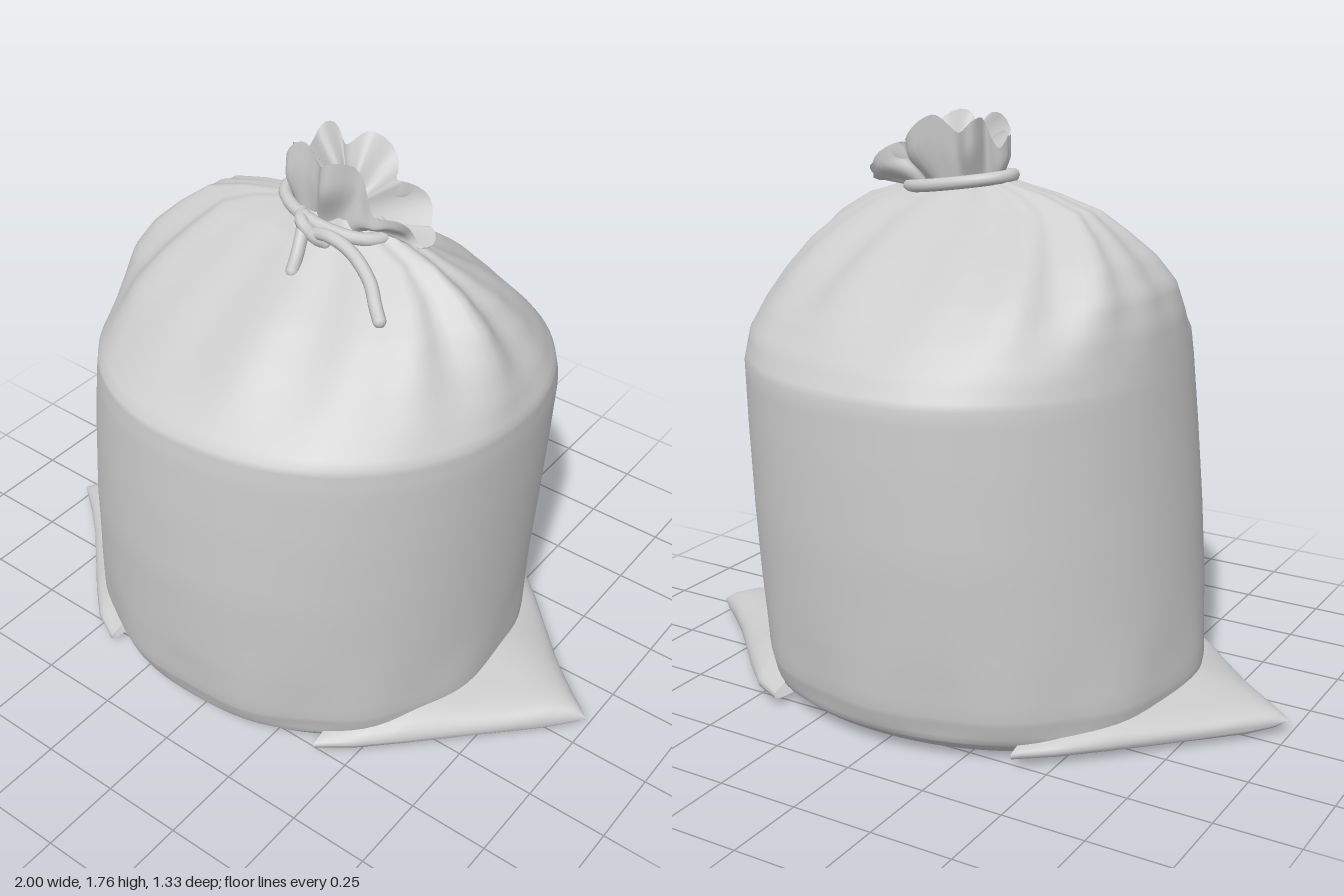
import * as THREE from 'three';

const SEG = 96;
const material = new THREE.MeshStandardMaterial({ color: 0xcccccc, side: THREE.DoubleSide });

// Joins closed rings of points (listed bottom to top or root to tip) into a smooth skin
function loft(name, rows, seg, point) {
  const pos = [], index = [];
  for (let r = 0; r < rows; r++) {
    for (let i = 0; i < seg; i++) pos.push(...point(r / (rows - 1), (i / seg) * Math.PI * 2));
  }
  for (let r = 0; r < rows - 1; r++) {
    for (let i = 0; i < seg; i++) {
      const a = r * seg + i, b = r * seg + (i + 1) % seg;
      index.push(a, a + seg, b, b, a + seg, b + seg);
    }
  }
  const g = new THREE.BufferGeometry();
  g.setAttribute('position', new THREE.Float32BufferAttribute(pos, 3));
  g.setIndex(index);
  g.computeVertexNormals();
  const mesh = new THREE.Mesh(g, material);
  mesh.name = name;
  return mesh;
}

// Linear lookup in a table of rows, t from 0 to 1
function sample(table, t) {
  const f = t * (table.length - 1), i = Math.min(Math.floor(f), table.length - 2);
  return table[i].map((v, k) => v + (table[i + 1][k] - v) * (f - i));
}

const spow = (v, p) => Math.sign(v) * Math.abs(v) ** p;
const smooth = THREE.MathUtils.smoothstep;

// Sack outline: height, left extent (-x), right extent (+x), back, front
const outline = [
  [0.008, 0, 0, 0, 0],
  [0.006, 0.62, 0.6, 0.48, 0.49],
  [0.022, 0.66, 0.64, 0.56, 0.57],
  [0.06, 0.68, 0.66, 0.605, 0.605],
  [0.14, 0.69, 0.67, 0.63, 0.635],
  [0.32, 0.675, 0.675, 0.645, 0.652],
  [0.6, 0.65, 0.69, 0.66, 0.665],
  [0.85, 0.625, 0.705, 0.66, 0.66],
  [1.04, 0.605, 0.715, 0.655, 0.65],
  [1.12, 0.595, 0.715, 0.605, 0.64],
  [1.2, 0.585, 0.68, 0.53, 0.54],
  [1.29, 0.56, 0.625, 0.43, 0.435],
  [1.37, 0.505, 0.565, 0.32, 0.325],
  [1.44, 0.435, 0.49, 0.205, 0.21],
  [1.5, 0.36, 0.39, 0.115, 0.12],
  [1.54, 0.24, 0.27, 0.08, 0.085],
  [1.57, 0.1, 0.22, 0.06, 0.065],
];

function bodyPoint(t, a) {
  const [y, left, right, back, front] = sample(outline, t);
  const c = spow(Math.cos(a), 0.95), s = spow(Math.sin(a), 0.95);
  // Gathers that deepen towards the neck, and soft dents near the floor
  const gather = smooth(y, 1.1, 1.42) * (0.035 * Math.sin(9 * a + 1) + 0.03 * Math.sin(14 * a + 0.6));
  const dent = 0.008 * smooth(y, 0.03, 0.1) * (1 - smooth(y, 0.15, 0.4)) * Math.sin(11 * a);
  const k = 1 + gather + dent;
  // Slightly fuller on one diagonal, matching the skewed base
  const skew = 1 - 0.02 * Math.sin(2 * a);
  return [c * (c < 0 ? left : right) * k * skew, y, s * (s < 0 ? back : front) * k * skew];
}

// Flattened base corner: x, back z, front z, bottom, top
const corner = [
  [0.4, -0.57, 0.53, 0.008, 0.1],
  [0.5, -0.52, 0.45, 0.005, 0.13],
  [0.6, -0.43, 0.35, 0.003, 0.145],
  [0.7, -0.33, 0.245, 0.002, 0.128],
  [0.8, -0.23, 0.14, 0.003, 0.112],
  [0.9, -0.145, 0.035, 0.008, 0.1],
  [0.96, -0.1, -0.03, 0.025, 0.08],
  [1.0, -0.07, -0.07, 0.052, 0.052],
];

function cornerPoint(height) {
  return (t, a) => {
    const [x, back, front, low, high] = sample(corner, t);
    const c = Math.cos(a), s = Math.sin(a), top = high * height;
    const mid = Math.min(0.045, (low + top) / 2);
    const z = (back + front) / 2 - c * (front - back) / 2;
    const wrinkle = s > 0 ? 0.008 * s * Math.sin(16 * z + 5 * x) * (1 - t) : 0;
    return [x, mid + wrinkle + (s > 0 ? s * (top - mid) : spow(s, 0.6) * (mid - low)), z];
  };
}

// Frilled mouth above the tie: tall on one side, drooping on the other
function frillPoint(t, a) {
  const c = Math.cos(a), s = Math.sin(a);
  const open = smooth(t, 0, 0.75);
  const fold = 1 + (0.1 + 0.2 * open) * Math.sin(8 * a + 0.8) + 0.12 * open * Math.sin(13 * a);
  const rx = 0.13 + 0.07 * open, rz = 0.06 + 0.035 * open;
  const x = 0.08 + 0.04 * open + c * rx * (0.75 + 0.25 * fold) + 0.06 * t * Math.max(c, 0);
  const z = -0.02 * t + s * rz * fold;
  const rim = 1.735 - 0.17 * smooth(x, 0.12, 0.4) - 0.07 * smooth(-x, 0.02, 0.12)
    + 0.025 * Math.sin(8 * a + 2.2);
  return [x, 1.51 + (rim - 1.51) * t, z];
}

// Rounded cord through a few points
function cord(name, points, closed = false) {
  const group = new THREE.Group();
  group.name = name;
  const pts = points.map((p) => new THREE.Vector3(...p));
  const curve = new THREE.CatmullRomCurve3(pts, closed);
  group.add(new THREE.Mesh(new THREE.TubeGeometry(curve, 48, 0.019, 10, closed), material));
  if (!closed) {
    for (const p of [pts[0], pts[pts.length - 1]]) {
      const end = new THREE.Mesh(new THREE.SphereGeometry(0.019, 10, 8), material);
      end.position.copy(p);
      group.add(end);
    }
  }
  return group;
}

export function createModel() {
  const model = new THREE.Group();
  model.name = 'tiedSack';

  model.add(loft('sackBody', 65, SEG, bodyPoint));

  // Flat corners of the base, one on each side
  model.add(loft('leftBaseCorner', 29, 40, cornerPoint(1)));
  const rightCorner = loft('rightBaseCorner', 29, 40, cornerPoint(0.88));
  rightCorner.rotation.y = Math.PI;
  model.add(rightCorner);

  // Gathered mouth with a puckered sheet closing its middle
  model.add(loft('frilledMouth', 14, SEG, frillPoint));
  model.add(loft('mouthFolds', 10, SEG, (t, a) => {
    const [x, y, z] = frillPoint(1 - 0.45 * t, a);
    return [0.12 + (x - 0.12) * (1 - t), y - 0.03 * t, z * (1 - t)];
  }));

  // Tie around the neck, sloping down to the sack's left
  const ring = [];
  for (let i = 0; i < 16; i++) {
    const a = (i / 16) * Math.PI * 2;
    ring.push([0.08 + 0.17 * Math.cos(a), 1.56 - 0.025 * Math.cos(a), 0.1 * Math.sin(a)]);
  }
  model.add(cord('neckTie', ring, true));

  // Crossing knot and its two hanging ends
  model.add(cord('tieKnot', [[0.02, 1.57, 0.09], [0.05, 1.565, 0.125], [0.09, 1.53, 0.12], [0.11, 1.51, 0.1]]));
  model.add(cord('shortTieEnd', [[0.04, 1.57, 0.1], [0.055, 1.54, 0.13], [0.068, 1.49, 0.17], [0.07, 1.45, 0.195]]));
  model.add(cord('longTieEnd', [[0.06, 1.53, 0.11], [0.14, 1.55, 0.12], [0.22, 1.53, 0.125],
    [0.3, 1.48, 0.15], [0.345, 1.44, 0.185], [0.37, 1.41, 0.2]]));

  return model;
}
